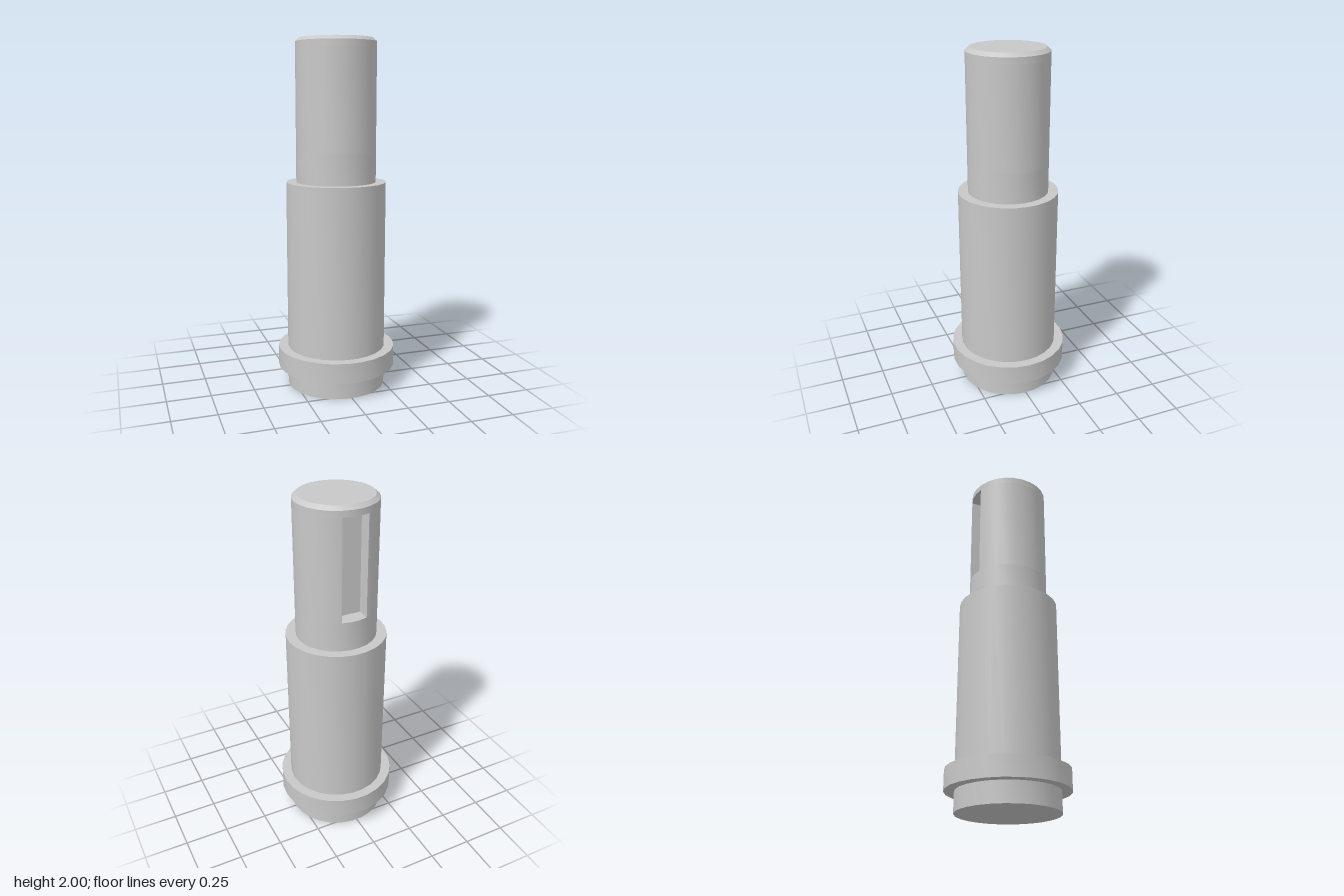
import * as THREE from 'three';
import { toCreasedNormals } from 'three/addons/utils/BufferGeometryUtils.js';

const SIDES = 26;
const SHAFT = 0.228, BODY = 0.285, COLLAR = 0.341; // radii
const SLOT = { bottom: 1.37, top: 1.945, half: 0.074, floor: 0.14 };

export function createModel() {
  const group = new THREE.Group();
  const steel = new THREE.MeshStandardMaterial({ color: 0xc8c8c8 });
  steel.name = 'steel grey';

  const add = (name, geometry) => {
    const mesh = new THREE.Mesh(toCreasedNormals(geometry, 0.4), steel);
    mesh.name = name;
    group.add(mesh);
  };

  // Turned part from a [radius, height] profile, with a corner on the x axis
  const turn = (name, profile) => add(name, new THREE.LatheGeometry(
    profile.map(([r, y]) => new THREE.Vector2(r, y)), SIDES, Math.PI / 2));

  turn('foot', [[0, 0], [BODY, 0], [BODY, 0.115]]);
  turn('collar', [[BODY, 0.115], [COLLAR, 0.115], [COLLAR, 0.23], [BODY, 0.23]]);
  turn('body', [[BODY, 0.23], [BODY, 1.2], [SHAFT, 1.2]]);
  turn('lowerShaft', [[SHAFT, 1.2], [SHAFT, SLOT.bottom], [0, SLOT.bottom]]);
  turn('chamferedTip', [[0, SLOT.top], [SHAFT, SLOT.top], [SHAFT, 1.98], [0.206, 2], [0, 2]]);

  // Shaft section with the keyway cut into the back
  const corner = (i) => {
    const a = (i * 2 * Math.PI) / SIDES;
    return new THREE.Vector2(SHAFT * Math.cos(a), SHAFT * Math.sin(a));
  };
  const p = corner(5), q = corner(6);
  const rim = p.clone().lerp(q, (p.x - SLOT.half) / (p.x - q.x)).y;
  const outline = [];
  for (let i = 0; i < SIDES; i++) {
    const c = corner(i);
    if (c.y < 0 || Math.abs(c.x) > SLOT.half) outline.push(c);
    if (i === 5) {
      for (const [x, y] of [[1, rim], [1, SLOT.floor], [-1, SLOT.floor], [-1, rim]]) {
        outline.push(new THREE.Vector2(x * SLOT.half, y));
      }
    }
  }
  const slotted = new THREE.ExtrudeGeometry(new THREE.Shape(outline), {
    depth: SLOT.top - SLOT.bottom, bevelEnabled: false,
  });
  slotted.rotateX(-Math.PI / 2).translate(0, SLOT.bottom, 0);
  add('keywayShaft', slotted);

  return group;
}
